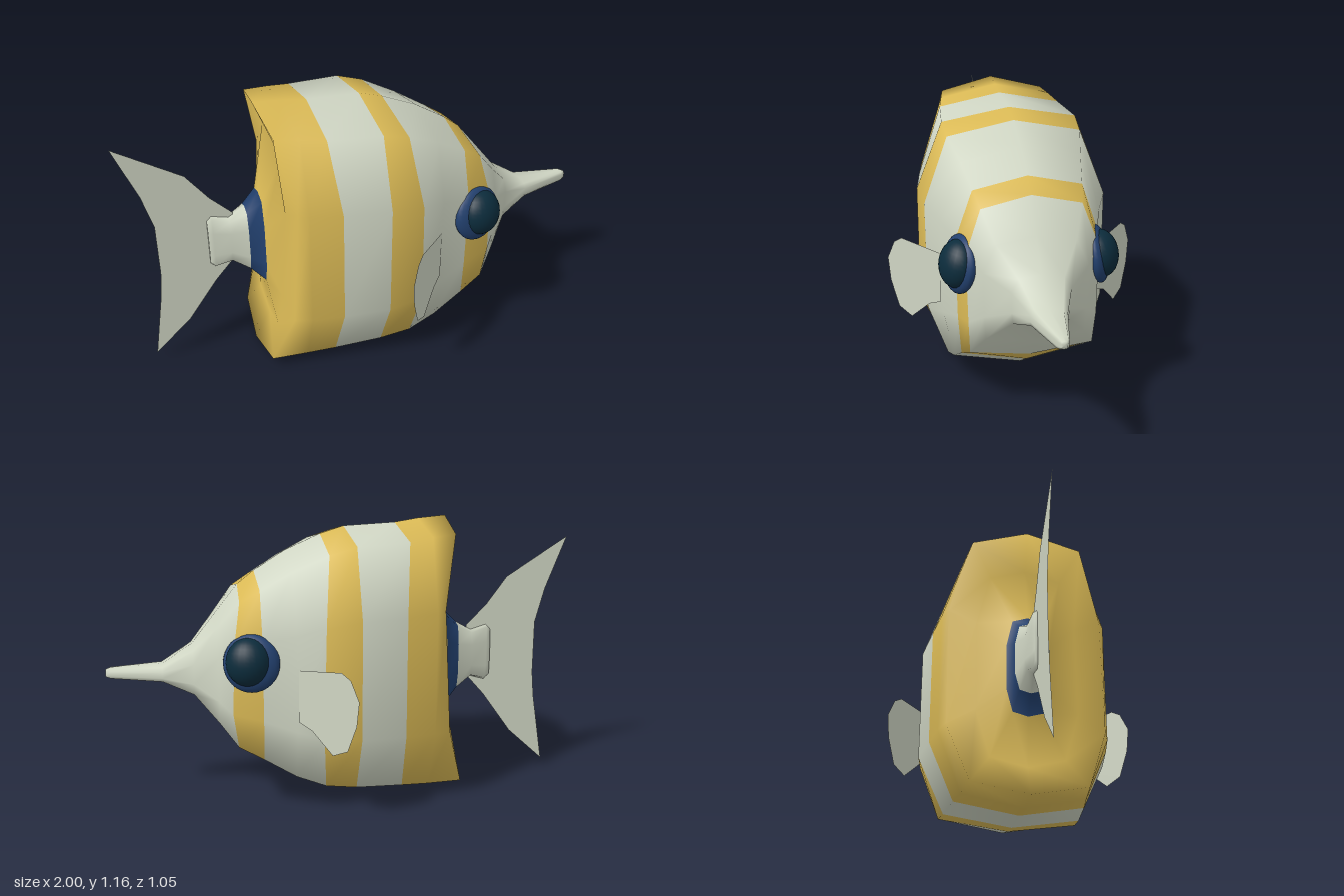
import * as THREE from 'three';

const mat = (name, color, side = THREE.FrontSide) => {
  const m = new THREE.MeshStandardMaterial({ color, side });
  m.name = name;
  return m;
};

export function createModel() {
  const fish = new THREE.Group();
  fish.name = 'fish';
  const pale = mat('paleGrey', 0xd0d6c4, THREE.DoubleSide);
  const yellow = mat('yellow', 0xdcbb56);
  const navy = mat('navy', 0x22406e);
  const dark = mat('darkTeal', 0x0c2c3c);
  const PALE = 0, YELLOW = 1, NAVY = 2;

  // Half cross-section as fractions of width and height, top to bottom
  const rearW = [0, 0.72, 1, 1, 0.72, 0], headW = [0, 0.76, 1, 0.98, 0.95, 0];
  const rearH = [1, 0.955, 0.7, 0.26, 0.04, 0], headH = [1, 0.94, 0.69, 0.28, 0.07, 0];
  const flat = [0, 0, 0, 0, 0, 0];
  const bow = [0, 0.01, 0.04, 0.05, 0.03, 0];

  // Rings from tail to snout: x, top, bottom, half width, colour ahead, x shift per corner
  const rings = [
    [-0.66, 0.66, 0.45, 0.012, PALE, flat],
    [-0.64, 0.68, 0.43, 0.02, PALE, flat],
    [-0.57, 0.66, 0.45, 0.035, PALE, flat],
    [-0.5, 0.70, 0.40, 0.06, NAVY, flat],
    [-0.44, 0.76, 0.33, 0.085, YELLOW, flat],
    [-0.38, 1.02, 0.13, 0.2, YELLOW, [0.01, 0.01, 0, -0.03, -0.04, -0.04]],
    [-0.36, 1.165, 0, 0.31, YELLOW, [-0.08, -0.06, 0, -0.03, -0.11, -0.13]],
    [-0.32, 1.155, 0.005, 0.335, YELLOW, flat],
    [-0.22, 1.14, 0.015, 0.36, PALE, [0, 0, 0.03, 0.03, 0.02, 0.02]],
    [0, 1.13, 0.03, 0.39, YELLOW, flat],
    [0.1, 1.10, 0.045, 0.375, PALE, bow],
    [0.25, 1.035, 0.085, 0.325, PALE, flat],
    [0.38, 0.955, 0.165, 0.285, YELLOW, flat],
    [0.45, 0.90, 0.225, 0.26, PALE, bow],
    [0.55, 0.775, 0.33, 0.205, PALE, flat],
    [0.645, 0.655, 0.45, 0.115, PALE, flat],
    [0.77, 0.575, 0.51, 0.07, PALE, flat],
    [0.98, 0.57, 0.525, 0.023, PALE, flat],
    [1.0, 0.562, 0.532, 0.012, PALE, flat],
  ];

  const pos = [], index = [], N = 10;
  for (const [x, top, bottom, w, , shift] of rings) {
    const t = THREE.MathUtils.clamp(x / 0.4, 0, 1);
    for (let j = 0; j < N; j++) {
      const k = j < 6 ? j : N - j;
      const z = w * THREE.MathUtils.lerp(rearW[k], headW[k], t) * (j < 6 ? 1 : -1);
      const h = THREE.MathUtils.lerp(rearH[k], headH[k], t);
      pos.push(x + shift[k], bottom + (top - bottom) * h, z);
    }
  }
  const bodyGeo = new THREE.BufferGeometry();
  for (let i = 0; i < rings.length - 1; i++) {
    bodyGeo.addGroup(index.length, N * 6, rings[i][4]);
    for (let j = 0; j < N; j++) {
      const a = i * N + j, b = i * N + (j + 1) % N;
      index.push(a, b, a + N, a + N, b, b + N);
    }
  }
  // End caps
  const capStart = index.length, last = (rings.length - 1) * N, c = pos.length / 3;
  pos.push(-0.66, 0.555, 0, 1.0, 0.547, 0);
  for (let j = 0; j < N; j++) {
    const n = (j + 1) % N;
    index.push(c, n, j, c + 1, last + j, last + n);
  }
  bodyGeo.addGroup(capStart, N * 6, PALE);
  bodyGeo.setAttribute('position', new THREE.Float32BufferAttribute(pos, 3));
  bodyGeo.setIndex(index);
  bodyGeo.computeVertexNormals();
  const body = new THREE.Mesh(bodyGeo, [pale, yellow, navy]);
  body.name = 'body';
  fish.add(body);

  const sheet = (points) => new THREE.ShapeGeometry(
    new THREE.Shape(points.map(([x, y]) => new THREE.Vector2(x, y))));

  // Forked tail fin
  const tail = new THREE.Mesh(sheet([
    [-0.55, 0.68], [-0.64, 0.77], [-0.73, 0.89], [-1, 1.06], [-0.91, 0.83], [-0.87, 0.68],
    [-0.87, 0.45], [-0.88, 0.34], [-0.93, 0.035], [-0.77, 0.18], [-0.64, 0.36], [-0.56, 0.45],
  ]), pale);
  tail.name = 'tailFin';
  fish.add(tail);

  for (const s of [1, -1]) {
    const side = s > 0 ? 'right' : 'left';

    // Side fin, swept outward to the rear
    const finGeo = sheet([
      [0.245, 0.605], [0.245, 0.39], [0.2, 0.365], [0.13, 0.28], [0.08, 0.31],
      [0.05, 0.42], [0.042, 0.52], [0.07, 0.6], [0.1, 0.625],
    ]);
    const p = finGeo.attributes.position;
    for (let i = 0; i < p.count; i++) p.setZ(i, s * (0.325 + (0.25 - p.getX(i)) * 0.96));
    finGeo.computeVertexNormals();
    const fin = new THREE.Mesh(finGeo, pale);
    fin.name = side + 'SideFin';
    fish.add(fin);

    // Eye: flattened socket with a domed eyeball
    const eye = new THREE.Group();
    eye.name = side + 'Eye';
    const facing = new THREE.Vector3(0.3, 0.18, 0.93 * s).normalize();
    eye.quaternion.setFromUnitVectors(new THREE.Vector3(0, 0, s), facing);
    eye.position.set(0.425, 0.63, 0.275 * s);
    const socket = new THREE.Mesh(new THREE.SphereGeometry(1, 24, 16), navy);
    socket.name = 'eyeSocket';
    socket.scale.set(0.115, 0.117, 0.045);
    const ball = new THREE.Mesh(new THREE.SphereGeometry(1, 24, 16), dark);
    ball.name = 'eyeball';
    ball.scale.set(0.09, 0.097, 0.072);
    ball.position.set(0.01, 0.005, 0.012 * s);
    eye.add(socket, ball);
    fish.add(eye);
  }
  return fish;
}
